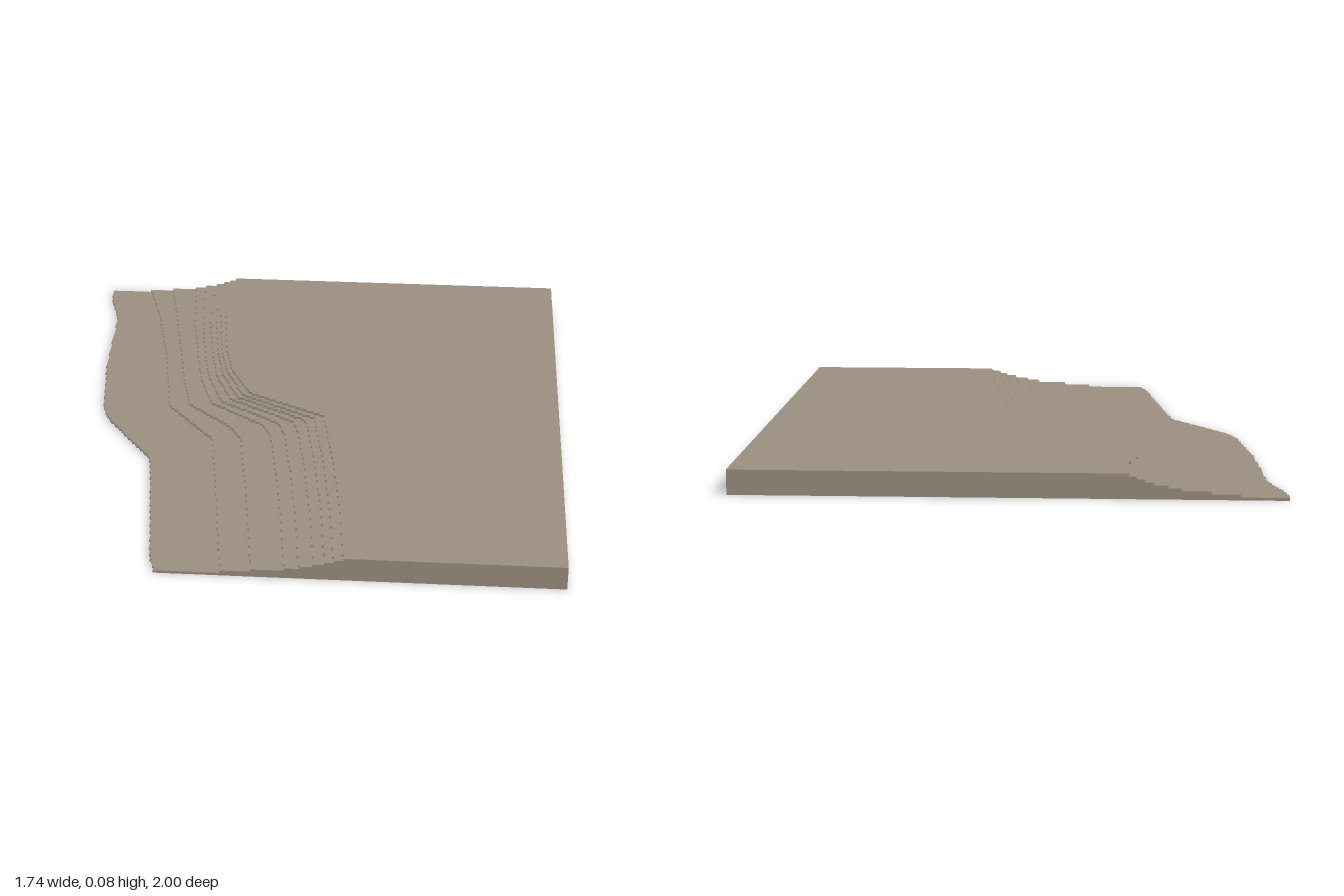
import * as THREE from 'three';

// Contour lines as [z, x] pairs: the shoreline, the first terrace and the plateau rim
const shore = [[-1, -0.87], [-0.92, -0.865], [-0.83, -0.835], [-0.74, -0.815], [-0.6, -0.81], [-0.35, -0.795],
  [-0.2, -0.775], [-0.06, -0.76], [0.04, -0.725], [0.3, -0.54], [0.5, -0.51], [0.75, -0.475], [0.9, -0.455], [1, -0.43]];
const firstTerrace = [[-1, -0.72], [-0.8, -0.66], [-0.435, -0.58], [-0.06, -0.52], [0.17, -0.34], [0.5, -0.29], [1, -0.22]];
const rim = [[-1, -0.375], [-0.69, -0.385], [-0.4, -0.35], [-0.23, -0.31], [-0.06, -0.23], [0.01, -0.1],
  [0.09, 0.045], [0.42, 0.1], [0.71, 0.14], [1, 0.168]];

// Position of each upper terrace between the first one (0) and the rim (1)
const fractions = [0, 0.25, 0.52, 0.64, 0.76, 0.85, 0.92, 1];

const EAST = 0.866;
const HEIGHT = 0.08;
const ROWS = 160;
const CELL = 0.006;

function sample(line, z) {
  let i = 1;
  while (i < line.length - 1 && z > line[i][0]) i++;
  const [z0, x0] = line[i - 1];
  const [z1, x1] = line[i];
  return THREE.MathUtils.lerp(x0, x1, (z - z0) / (z1 - z0));
}

// One flat slab whose western edge is a fine grid staircase
function layerGeometry(edgeAt, thickness) {
  const shape = new THREE.Shape();
  shape.moveTo(EAST, -1);
  shape.lineTo(EAST, 1);
  let previous = null;
  for (let i = 0; i < ROWS; i++) {
    const z0 = -1 + (2 * i) / ROWS;
    const x = Math.round(edgeAt(z0 + 1 / ROWS) / CELL) * CELL;
    if (x !== previous) {
      if (previous !== null) shape.lineTo(previous, -z0);
      shape.lineTo(x, -z0);
      previous = x;
    }
  }
  shape.lineTo(previous, -1);
  shape.closePath();
  const geometry = new THREE.ExtrudeGeometry(shape, { depth: thickness, bevelEnabled: false });
  return geometry.rotateX(-Math.PI / 2);
}

export function createModel() {
  const model = new THREE.Group();
  model.name = 'terracedTerrain';
  const earth = new THREE.MeshStandardMaterial({ color: 0x9c8f80 });
  earth.name = 'earth';

  // Base slab first, then the terraces up to the plateau
  const edges = [(z) => sample(shore, z)];
  for (const f of fractions) {
    edges.push((z) => THREE.MathUtils.lerp(sample(firstTerrace, z), sample(rim, z), f));
  }
  const thickness = HEIGHT / edges.length;
  edges.forEach((edgeAt, i) => {
    const layer = new THREE.Mesh(layerGeometry(edgeAt, thickness), earth);
    layer.name = i === 0 ? 'baseLayer' : i === edges.length - 1 ? 'plateau' : `terrace${i}`;
    layer.position.y = i * thickness;
    model.add(layer);
  });
  return model;
}
